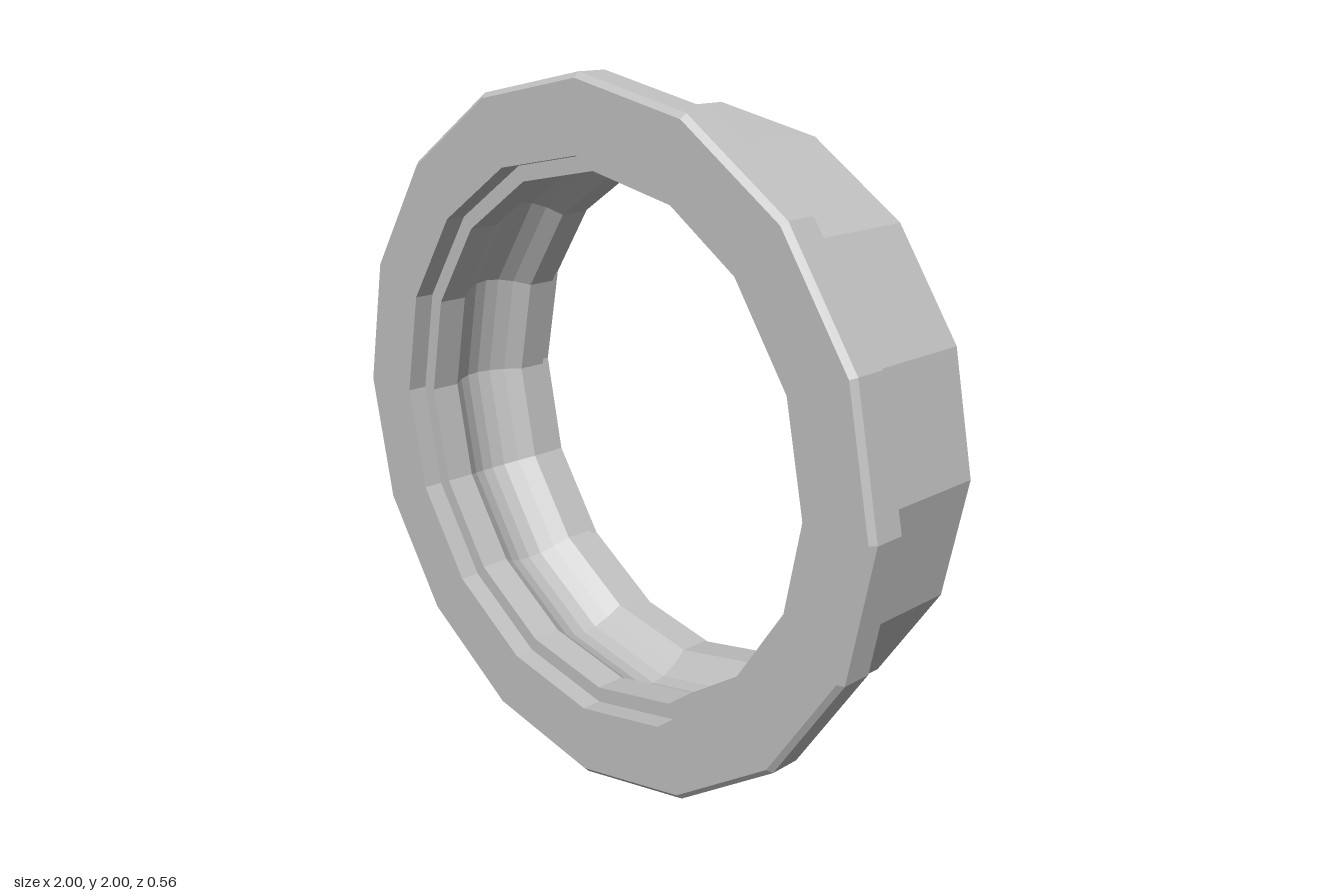
import * as THREE from 'three';

const SIDES = 16;

export function createModel() {
  const group = new THREE.Group();
  group.name = 'flangedRing';
  const steel = new THREE.MeshStandardMaterial({ color: 0xc0c0c0 });
  steel.name = 'steel grey';
  steel.flatShading = true;

  // Sweeps a (radius, z) profile around the z axis
  const addRing = (name, profile) => {
    const points = profile.map(([r, z]) => new THREE.Vector2(r, z));
    const geometry = new THREE.LatheGeometry(points, SIDES);
    geometry.rotateX(Math.PI / 2);
    const mesh = new THREE.Mesh(geometry, steel);
    mesh.name = name;
    mesh.position.y = 1;
    group.add(mesh);
  };

  // Outer body with chamfered ends and a narrow relief groove behind the flange
  addRing('outerBody', [
    [0.79, -0.28], [0.875, -0.28], [0.89, -0.265], [0.89, 0.125],
    [0.875, 0.14], [0.875, 0.16],
  ]);

  // Wide front flange
  addRing('frontFlange', [
    [0.875, 0.16], [0.985, 0.16], [1, 0.175], [1, 0.265], [0.985, 0.28], [0.79, 0.28],
  ]);

  // Stepped bore: seal seats at both ends, shoulders and a concave raceway
  const raceway = [];
  for (let i = 0; i <= 6; i++) {
    const t = (i / 6) * 2 - 1;
    raceway.push([0.745 + 0.065 * (1 - t * t), -0.13 * t]);
  }
  addRing('innerBore', [
    [0.79, 0.28], [0.79, 0.22], [0.745, 0.22],
    ...raceway,
    [0.745, -0.22], [0.79, -0.22], [0.79, -0.28],
  ]);

  return group;
}
